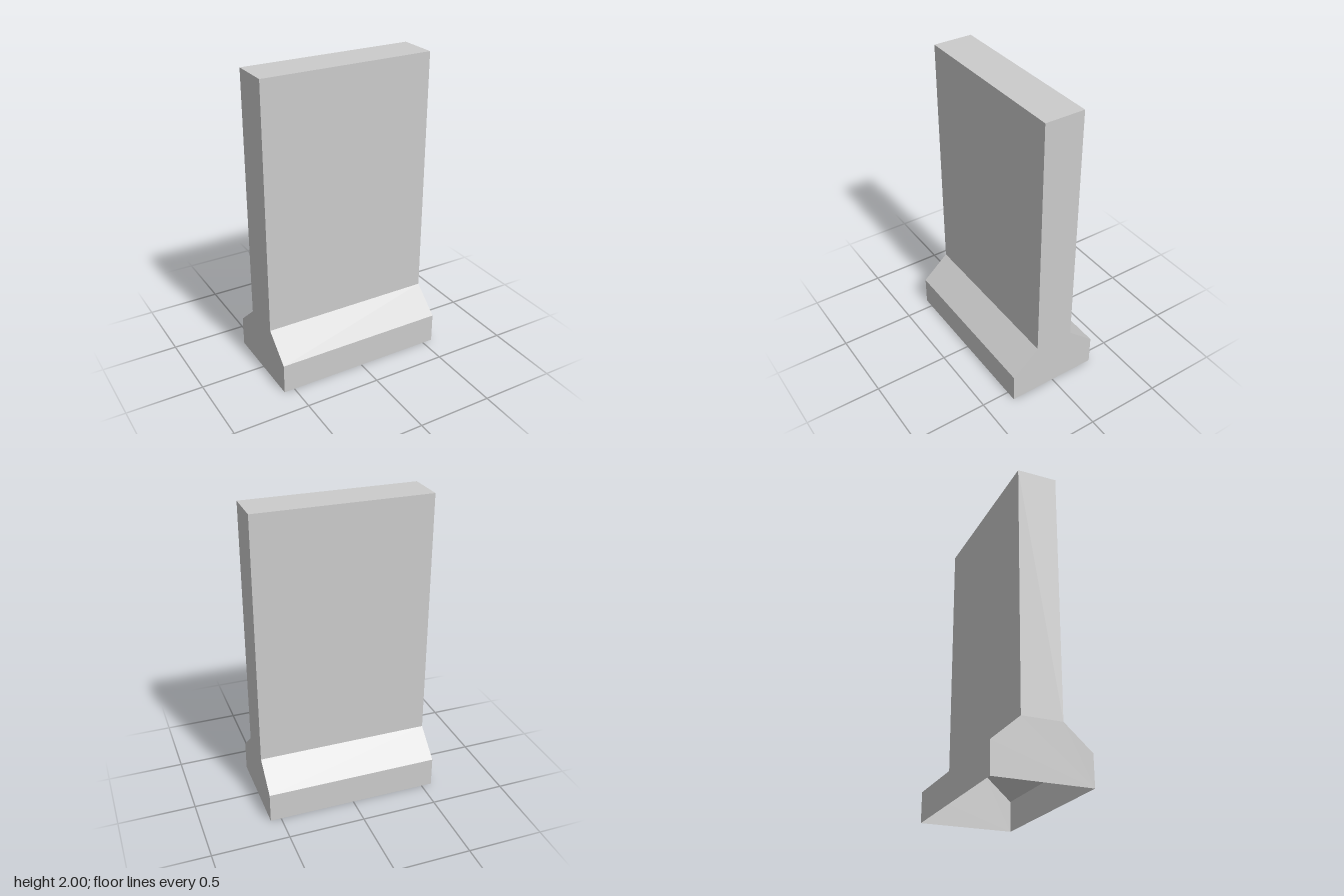
import * as THREE from 'three';

// Drop the triangles lying on the ground, leaving the underside open
function openUnderside(geometry) {
  const p = geometry.attributes.position;
  const kept = [];
  for (let i = 0; i < p.count; i += 3) {
    if (Math.max(p.getY(i), p.getY(i + 1), p.getY(i + 2)) < 1e-4) continue;
    for (let j = i; j < i + 3; j++) kept.push(p.getX(j), p.getY(j), p.getZ(j));
  }
  const open = new THREE.BufferGeometry();
  open.setAttribute('position', new THREE.Float32BufferAttribute(kept, 3));
  open.computeVertexNormals();
  return open;
}

export function createModel() {
  const width = 1.14;
  const group = new THREE.Group();
  group.name = 'barrierWall';

  // Half profile (depth, height): plinth, sloped shoulder, upright slab
  const half = [[0.31, 0], [0.31, 0.2], [0.13, 0.36], [0.13, 2]];
  const mirrored = half.map(([z, y]) => [-z, y]).reverse();
  const shape = new THREE.Shape([...half, ...mirrored].map(([z, y]) => new THREE.Vector2(z, y)));

  // Sweep the profile along the width
  const solid = new THREE.ExtrudeGeometry(shape, { depth: width, bevelEnabled: false });
  solid.translate(0, 0, -width / 2).rotateY(-Math.PI / 2);

  // Hollow concrete shell, open below
  const material = new THREE.MeshStandardMaterial({
    color: 0xcccccc, flatShading: true, side: THREE.DoubleSide,
  });
  const wall = new THREE.Mesh(openUnderside(solid), material);
  wall.name = 'wallShell';
  group.add(wall);
  return group;
}
